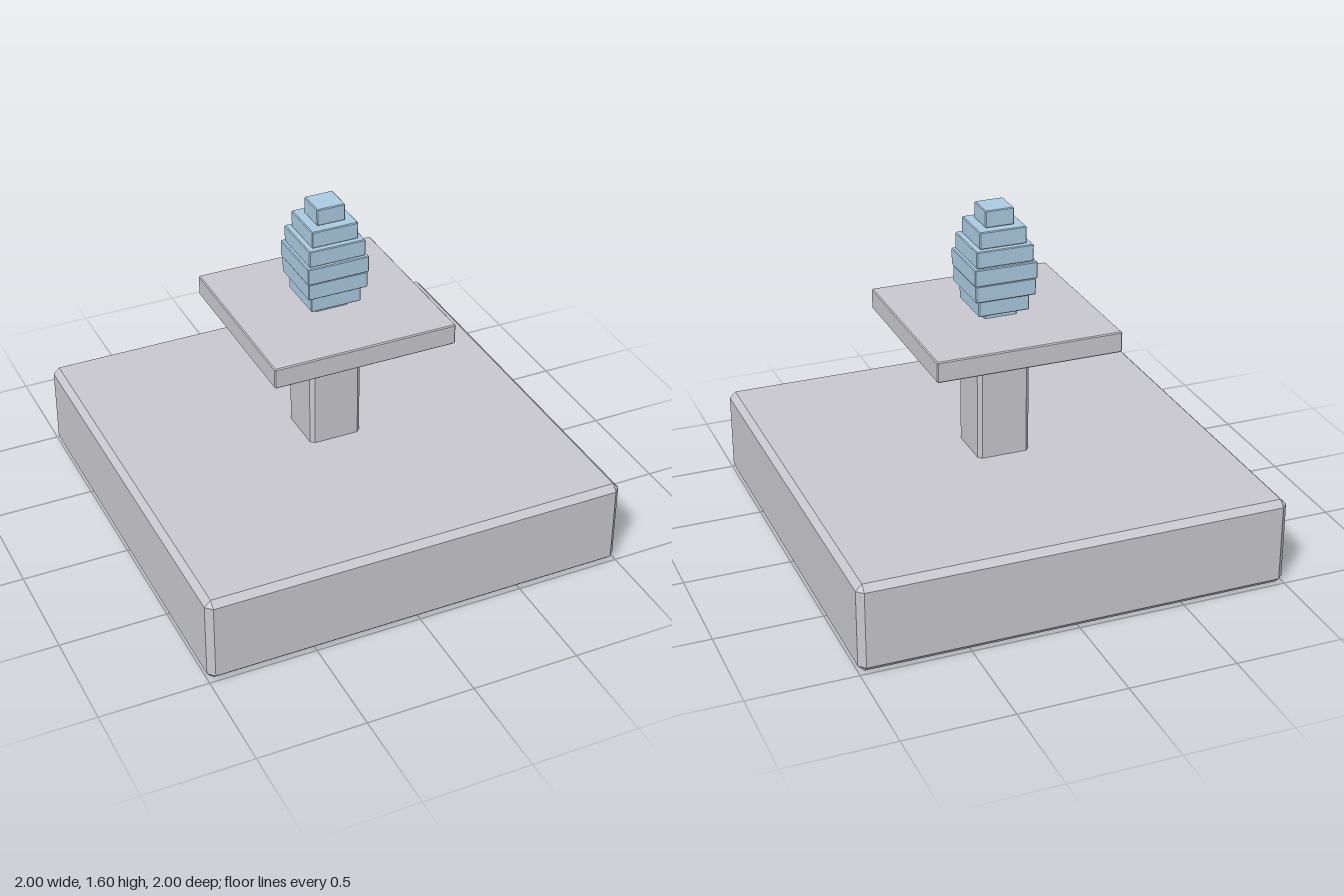
import * as THREE from 'three';
import { ConvexGeometry } from 'three/addons/geometries/ConvexGeometry.js';

// Square block from y0 to y1 with all edges chamfered by c
function chamferedBlock(half, y0, y1, c) {
  const h = (y1 - y0) / 2;
  const points = [];
  for (const sx of [-1, 1]) for (const sy of [-1, 1]) for (const sz of [-1, 1]) {
    points.push(
      new THREE.Vector3(sx * half, sy * (h - c), sz * (half - c)),
      new THREE.Vector3(sx * (half - c), sy * h, sz * (half - c)),
      new THREE.Vector3(sx * (half - c), sy * (h - c), sz * half)
    );
  }
  return new ConvexGeometry(points).translate(0, (y0 + y1) / 2, 0);
}

export function createModel() {
  const model = new THREE.Group();
  model.name = 'pedestal';

  const stone = new THREE.MeshStandardMaterial({ color: 0xc9c8cf });
  stone.name = 'grey stone';
  const blue = new THREE.MeshStandardMaterial({ color: 0xaccce2 });
  blue.name = 'pale blue';

  function add(name, geometry, material, parent = model) {
    const mesh = new THREE.Mesh(geometry, material);
    mesh.name = name;
    parent.add(mesh);
  }

  // Base slab, square post and table plate
  add('base', chamferedBlock(1, 0, 0.42, 0.029), stone);
  add('post', chamferedBlock(0.125, 0.39, 1.02, 0.018), stone);
  add('plate', chamferedBlock(0.435, 0.995, 1.093, 0.005), stone);

  // Stepped flame: half width and top height of each tier
  const flame = new THREE.Group();
  flame.name = 'flame';
  model.add(flame);
  const tiers = [
    [0.078, 1.124], [0.121, 1.202], [0.143, 1.281], [0.148, 1.361],
    [0.135, 1.44], [0.111, 1.52], [0.068, 1.6],
  ];
  let bottom = 1.085;
  tiers.forEach(([half, top], i) => {
    add(`flameTier${i + 1}`, chamferedBlock(half, bottom, top, 0.004), blue, flame);
    bottom = top;
  });

  return model;
}
